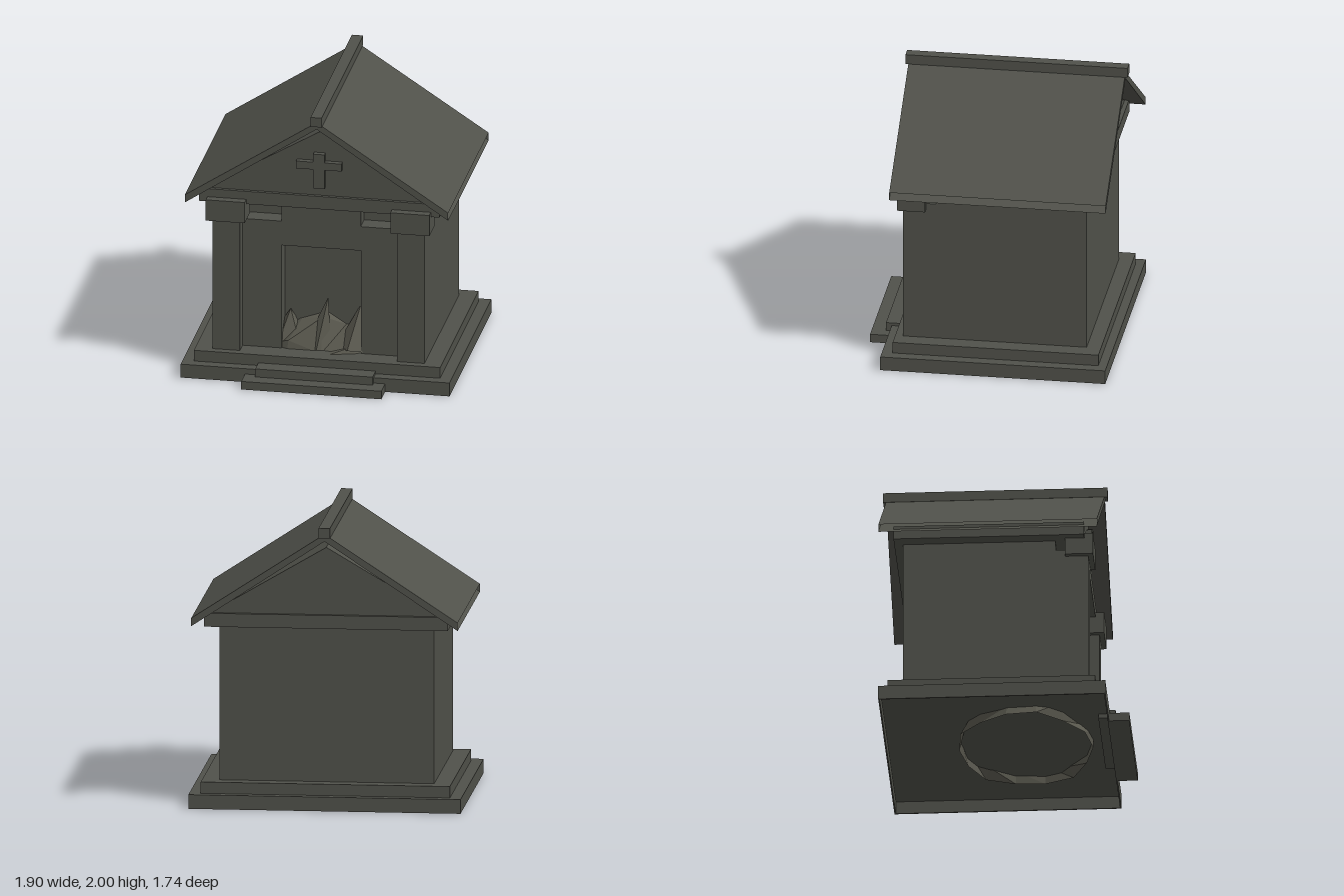
import * as THREE from 'three';

export function createModel() {
  const model = new THREE.Group();
  model.name = 'stoneCrypt';
  const stone = new THREE.MeshStandardMaterial({ color: 0x50514a, side: THREE.DoubleSide });
  stone.name = 'darkStone';
  const earth = new THREE.MeshStandardMaterial({ color: 0x5a594f, side: THREE.DoubleSide });
  earth.name = 'rubbleGrey';

  function add(name, geometry, material = stone) {
    const mesh = new THREE.Mesh(geometry, material);
    mesh.name = name;
    model.add(mesh);
    return mesh;
  }
  // Box given by its limits on each axis
  function box(name, x0, x1, y0, y1, z0, z1) {
    add(name, new THREE.BoxGeometry(x1 - x0, y1 - y0, z1 - z0))
      .position.set((x0 + x1) / 2, (y0 + y1) / 2, (z0 + z1) / 2);
  }
  // The same box on both sides of the model
  function pair(name, x0, x1, ...rest) {
    box(name + 'Left', x0, x1, ...rest);
    box(name + 'Right', -x1, -x0, ...rest);
  }

  // Lower plinth: a shell open underneath
  box('plinthTop', -0.95, 0.95, 0.09, 0.1, -0.85, 0.73);
  pair('plinthSide', 0.94, 0.95, 0, 0.09, -0.85, 0.73);
  box('plinthFront', -0.94, 0.94, 0, 0.09, 0.72, 0.73);
  box('plinthBack', -0.94, 0.94, 0, 0.09, -0.85, -0.84);
  box('upperPlinth', -0.87, 0.87, 0.1, 0.18, -0.79, 0.655);

  // Entrance steps
  box('lowerStep', -0.495, 0.495, 0, 0.06, 0.72, 0.87);
  box('upperStep', -0.415, 0.415, 0.06, 0.12, 0.65, 0.77);

  // Chamber with recessed front wall, doorway and two vents beside the lintel
  box('chamber', -0.75, 0.75, 0.18, 1.27, -0.69, 0.37);
  pair('frontWall', 0.28, 0.555, 0.18, 1.13, 0.37, 0.5);
  box('doorLintel', -0.28, 0.28, 0.95, 1.27, 0.37, 0.5);
  pair('column', 0.555, 0.75, 0.18, 1.2, 0.37, 0.6);
  pair('capital', 0.515, 0.79, 1.15, 1.305, 0.44, 0.635);
  box('architrave', -0.85, 0.85, 1.27, 1.365, -0.75, 0.575);

  // Gable block
  const gable = new THREE.Shape([[-0.81, 1.365], [0.81, 1.365], [0, 1.84]]
    .map(([x, y]) => new THREE.Vector2(x, y)));
  add('gable', new THREE.ExtrudeGeometry(gable, { depth: 1.27, bevelEnabled: false }))
    .position.z = -0.72;

  // Cross in relief on the gable
  const cross = new THREE.Shape([
    [-0.04, 1.43], [0.04, 1.43], [0.04, 1.57], [0.16, 1.57], [0.16, 1.625], [0.04, 1.625],
    [0.04, 1.685], [-0.04, 1.685], [-0.04, 1.625], [-0.16, 1.625], [-0.16, 1.57], [-0.04, 1.57],
  ].map(([x, y]) => new THREE.Vector2(x, y)));
  add('cross', new THREE.ExtrudeGeometry(cross, { depth: 0.05, bevelEnabled: false }))
    .position.z = 0.54;

  // Roof slopes, each a slab left open along the eave
  function roofSlope(name, s) {
    const z0 = -0.85, z1 = 0.67, a = [0, 1.955], b = [0.93 * s, 1.347], c = [0.93 * s, 1.29], d = [0, 1.905];
    const points = [];
    const quad = (...corners) => [0, 1, 2, 0, 2, 3].forEach((i) => points.push(...corners[s > 0 ? i : 3 - i]));
    const at = (p, z) => [p[0], p[1], z];
    quad(at(a, z1), at(b, z1), at(b, z0), at(a, z0));
    quad(at(d, z0), at(c, z0), at(c, z1), at(d, z1));
    quad(at(d, z1), at(c, z1), at(b, z1), at(a, z1));
    quad(at(a, z0), at(b, z0), at(c, z0), at(d, z0));
    const geometry = new THREE.BufferGeometry();
    geometry.setAttribute('position', new THREE.Float32BufferAttribute(points, 3));
    geometry.computeVertexNormals();
    add(name, geometry);
  }
  roofSlope('roofLeft', 1);
  roofSlope('roofRight', -1);
  box('roofRidge', -0.04, 0.04, 1.93, 2, -0.87, 0.69);

  // Rubble mound spilling through the doorway, its uneven skirt reaching under the floor
  const sides = 14;
  const rings = [[1, 0.03], [0.97, 0.13], [0.86, 0.2], [0.62, 0.38], [0.3, 0.45], [0, 0.48]];
  const verts = [], faces = [];
  rings.forEach(([r, y], j) => {
    for (let i = 0; i < sides; i++) {
      const angle = (i / sides) * Math.PI * 2;
      const bump = Math.sin(i * 4.1 + j * 2.3);
      const k = r * (1 + 0.04 * bump);
      verts.push(0.6 * k * Math.sin(angle), y + (j > 0 && j < 5 ? 0.04 * bump : 0),
        0.12 + 0.47 * k * Math.cos(angle));
      if (j === rings.length - 1) continue;
      const p = j * sides + i, q = j * sides + (i + 1) % sides;
      faces.push(p, q, q + sides, p, q + sides, p + sides);
    }
  });
  let mound = new THREE.BufferGeometry();
  mound.setAttribute('position', new THREE.Float32BufferAttribute(verts, 3));
  mound.setIndex(faces);
  mound = mound.toNonIndexed();
  mound.computeVertexNormals();
  add('rubbleMound', mound, earth);

  // Jagged shards on the mound: x, z, height of tip, radius, lean
  [[0, 0.41, 0.55, 0.1, -0.18], [0.24, 0.39, 0.5, 0.13, -0.2], [-0.24, 0.38, 0.44, 0.15, 0.1]]
    .forEach(([x, z, top, radius, lean], i) => {
      const shard = new THREE.ConeGeometry(radius, top - 0.18, 5).toNonIndexed();
      shard.computeVertexNormals();
      const mesh = add('rubbleShard' + (i + 1), shard, earth);
      mesh.position.set(x, (top + 0.18) / 2, z);
      mesh.rotation.set(0, i, lean);
    });

  return model;
}
